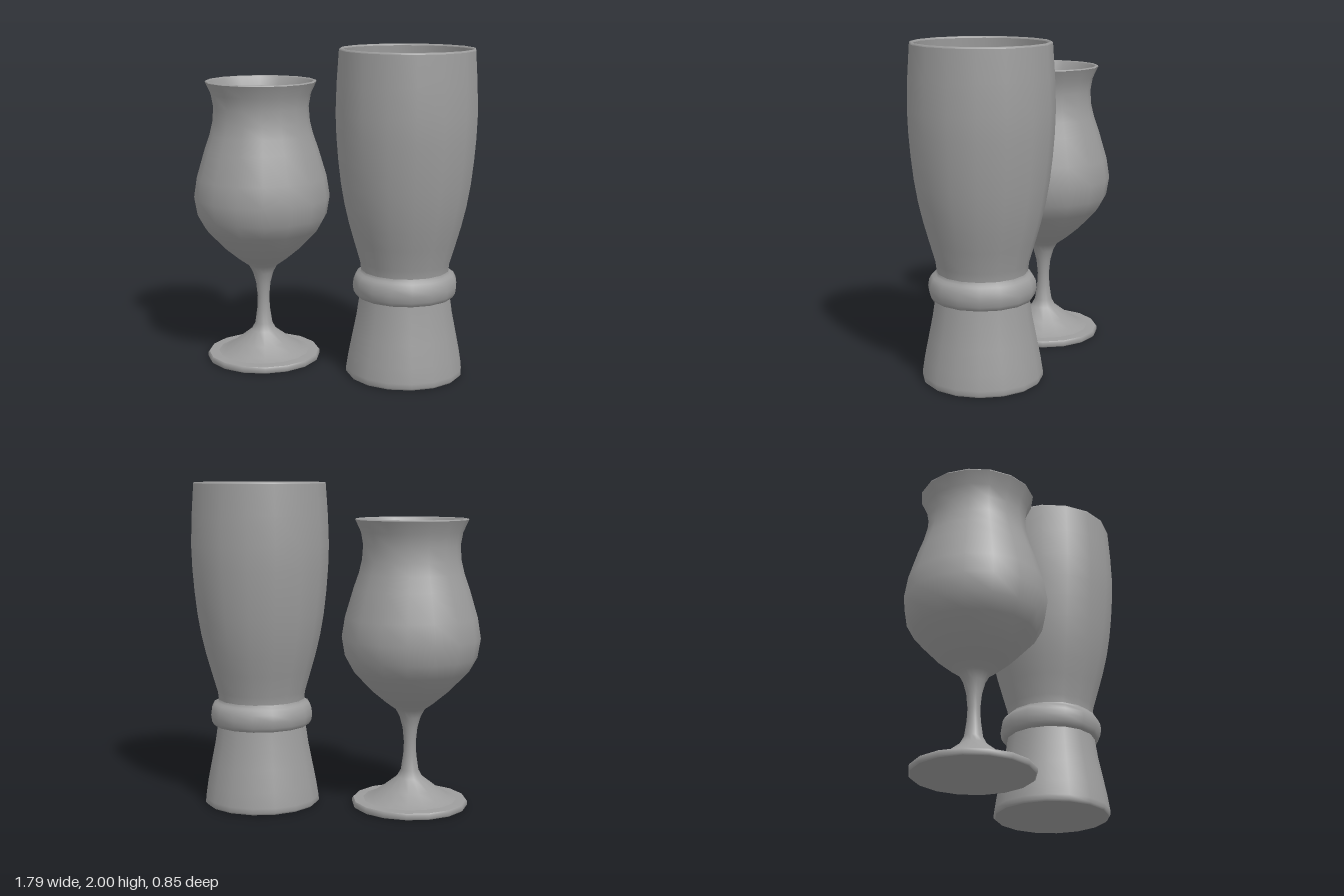
import * as THREE from 'three';

const SIDES = 16;
const glassGrey = new THREE.MeshStandardMaterial({ color: 0x9c9c9c });
glassGrey.name = 'glassGrey';

// One smooth-shaded turned surface; profile is [radius, height] pairs
function turned(name, profile) {
  const points = profile.map(([r, y]) => new THREE.Vector2(r, y));
  const mesh = new THREE.Mesh(new THREE.LatheGeometry(points, SIDES), glassGrey);
  mesh.name = name;
  return mesh;
}

// Inner wall: the outer profile moved inwards and run from rim to floor
const innerWall = (outer, wall) => outer.map(([r, y]) => [r - wall, y]).reverse();

function glass(name, x, parts) {
  const group = new THREE.Group();
  group.name = name;
  group.position.x = x;
  for (const [part, profile] of Object.entries(parts)) group.add(turned(part, profile));
  return group;
}

export function createModel() {
  const model = new THREE.Group();
  model.name = 'beerGlasses';

  // Stemmed tulip glass
  const bowl = [
    [0.155, 0.655], [0.245, 0.73], [0.36, 0.85], [0.408, 0.937], [0.427, 1.053],
    [0.407, 1.18], [0.355, 1.355], [0.322, 1.45], [0.303, 1.53], [0.296, 1.62],
    [0.31, 1.7], [0.345, 1.775],
  ];
  model.add(glass('tulipGlass', -0.47, {
    footUnderside: [[0, 0], [0.352, 0]],
    footEdge: [[0.352, 0], [0.36, 0.008], [0.36, 0.03], [0.352, 0.04]],
    footRim: [[0.352, 0.04], [0.29, 0.043]],
    stemAndBowl: [
      [0.29, 0.043], [0.24, 0.06], [0.17, 0.11], [0.08, 0.18], [0.055, 0.225],
      [0.041, 0.32], [0.037, 0.4], [0.046, 0.49], [0.065, 0.56], [0.092, 0.61], ...bowl,
    ],
    rim: [[0.345, 0 + 1.775], [0.341, 1.782], [0.331, 1.782], [0.327, 1.775]],
    bowlInside: [...innerWall(bowl, 0.018), [0.06, 0.68], [0, 0.67]],
  }));

  // Footed pint glass
  const body = [
    [0.27, 0.66], [0.276, 0.71], [0.314, 0.84], [0.345, 0.95], [0.373, 1.07],
    [0.395, 1.2], [0.411, 1.34], [0.422, 1.48], [0.427, 1.62], [0.421, 1.8], [0.408, 1.99],
  ];
  model.add(glass('pintGlass', 0.463, {
    baseUnderside: [[0, 0], [0.352, 0]],
    base: [
      [0.352, 0], [0.362, 0.012], [0.36, 0.04], [0.346, 0.13], [0.32, 0.26],
      [0.296, 0.38], [0.279, 0.497],
    ],
    collar: [
      [0.279, 0.497], [0.3, 0.5], [0.315, 0.525], [0.321, 0.565],
      [0.315, 0.605], [0.298, 0.635], [0.276, 0.643], [0.27, 0.66],
    ],
    body,
    rim: [[0.408, 1.99], [0.404, 2], [0.394, 2], [0.39, 1.99]],
    bodyInside: [...innerWall(body.slice(2), 0.018), [0.265, 0.73]],
    floor: [[0.265, 0.73], [0, 0.73]],
  }));

  return model;
}
